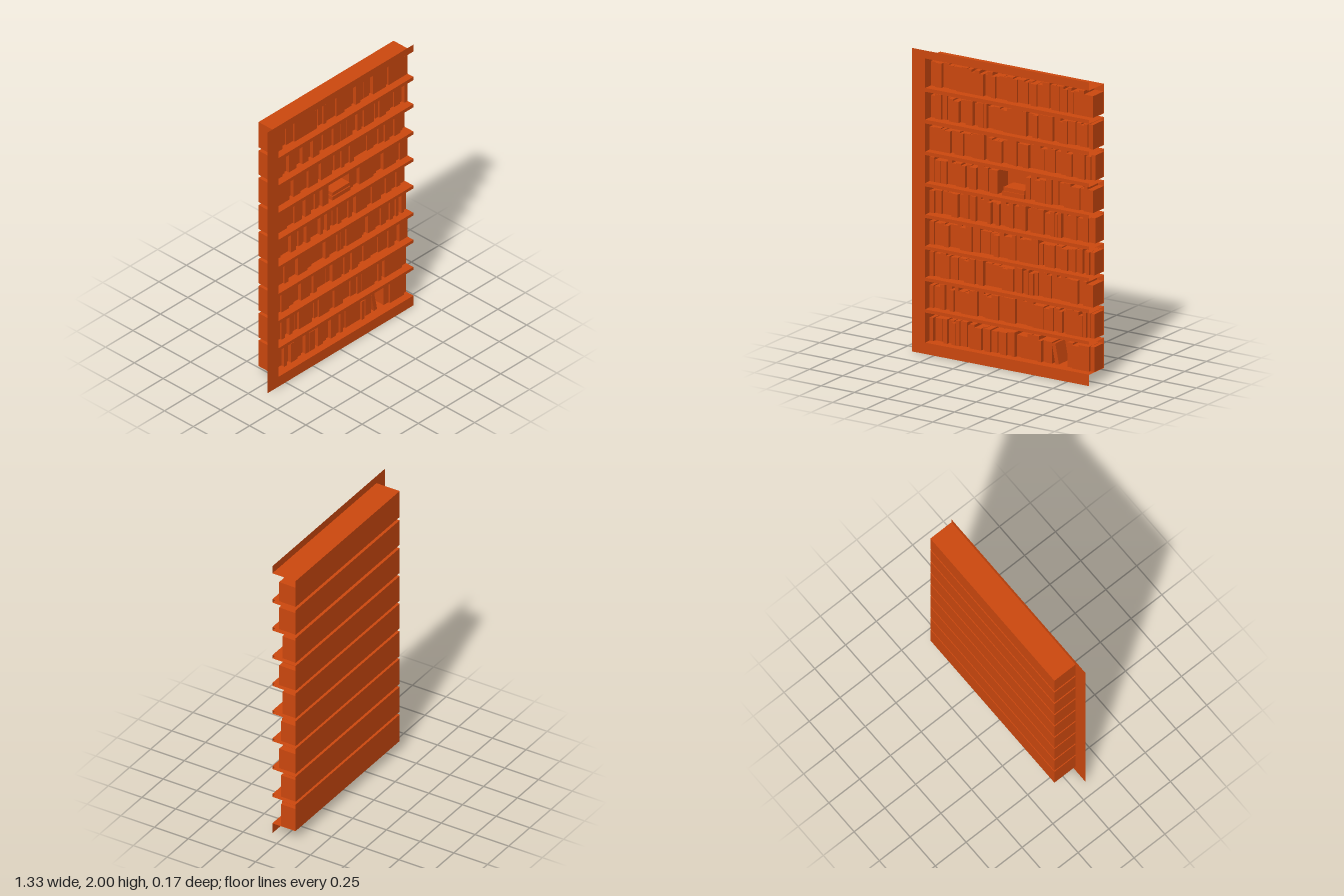
import * as THREE from 'three';

const LEFT = -0.565, RIGHT = 0.665, FRONT = 0.086, BACK = -0.086;
// Floor and ceiling height of each niche, bottom to top
const NICHES = [[0.075, 0.273], [0.294, 0.481], [0.503, 0.69], [0.711, 0.897], [0.919, 1.104],
  [1.126, 1.311], [1.334, 1.519], [1.544, 1.728], [1.753, 1.947]];

const material = new THREE.MeshStandardMaterial({ color: 0xcd480e, side: THREE.DoubleSide, flatShading: true });

function add(parent, name, geometry, x = 0, y = 0, z = 0) {
  const mesh = new THREE.Mesh(geometry, material);
  mesh.name = name;
  mesh.position.set(x, y, z);
  parent.add(mesh);
  return mesh;
}

// Small seeded generator so the books are always the same
function seeded(seed) {
  let s = seed;
  return () => (s = (s * 16807) % 2147483647) / 2147483647;
}

// Thin front sheet: a comb outline whose notches are the niche openings
function frontSheet() {
  const shape = new THREE.Shape();
  shape.moveTo(-RIGHT, 0);
  shape.lineTo(RIGHT, 0);
  for (const [low, high] of NICHES) {
    shape.lineTo(RIGHT, low);
    shape.lineTo(LEFT, low);
    shape.lineTo(LEFT, high);
    shape.lineTo(RIGHT, high);
  }
  shape.lineTo(RIGHT, 2);
  shape.lineTo(-RIGHT, 2);
  return new THREE.ShapeGeometry(shape);
}

// Recess open at the front and at the right-hand end of the front view
function addNiche(parent, low, high) {
  const niche = new THREE.Group();
  niche.name = 'niche';
  parent.add(niche);
  const width = RIGHT - LEFT, height = high - low, depth = FRONT - BACK;
  const midX = (LEFT + RIGHT) / 2, midY = (low + high) / 2;
  add(niche, 'nicheBack', new THREE.PlaneGeometry(width, height), midX, midY, BACK);
  add(niche, 'nicheFloor', new THREE.PlaneGeometry(width, depth).rotateX(-Math.PI / 2), midX, low, 0);
  add(niche, 'nicheCeiling', new THREE.PlaneGeometry(width, depth).rotateX(Math.PI / 2), midX, high, 0);
  add(niche, 'nicheSide', new THREE.PlaneGeometry(depth, height).rotateY(Math.PI / 2), LEFT, midY, 0);
}

// A box-shaped book standing on the floor with its back near the niche back
function addBook(parent, name, x, floor, width, height, depth) {
  return add(parent, name, new THREE.BoxGeometry(width, height, depth),
    x + width / 2, floor + height / 2, BACK + 0.001 + depth / 2);
}

// Fill a run of shelf from one x to another with books of mixed size
function addBookRun(parent, from, to, floor, random) {
  let x = from;
  while (x < to - 0.001) {
    let width = 0.024 + 0.03 * random() ** 1.5;
    if (to - x - width < 0.022) width = to - x;
    const tall = random() < 0.4;
    const height = tall ? 0.16 + 0.006 * random() : 0.139 + 0.016 * random();
    const depth = [0.122, 0.122, 0.108, 0.097][Math.floor(random() * 4)];
    addBook(parent, 'book', x, floor, width - 0.0005, height, depth);
    x += width;
  }
}

export function createModel() {
  const model = new THREE.Group();
  model.name = 'bookcase';
  add(model, 'frontSheet', frontSheet(), 0, 0, FRONT);

  NICHES.forEach(([low, high], i) => {
    addNiche(model, low, high);
    const row = new THREE.Group();
    row.name = 'bookRow';
    model.add(row);
    const random = seeded(7919 * (i + 3));
    const floor = low + 0.001;
    // Two rows leave a gap; the others are full
    const gap = { 0: [0.345, 0.46], 5: [-0.055, 0.145] }[i];
    const runs = gap ? [[LEFT + 0.002, gap[0]], [gap[1], RIGHT - 0.002]] : [[LEFT + 0.002, RIGHT - 0.002]];
    for (const [from, to] of runs) addBookRun(row, from, to, floor, random);
  });

  // Book leaning against its neighbour in the bottom gap
  const leaning = addBook(model, 'leaningBook', 0.358, 0.077, 0.027, 0.136, 0.11);
  leaning.rotation.z = 0.2;

  // Two books lying flat in the middle gap
  addBook(model, 'flatBook', -0.02, 1.127, 0.164, 0.029, 0.122);
  addBook(model, 'flatBook', -0.015, 1.156, 0.159, 0.025, 0.115);
  return model;
}
